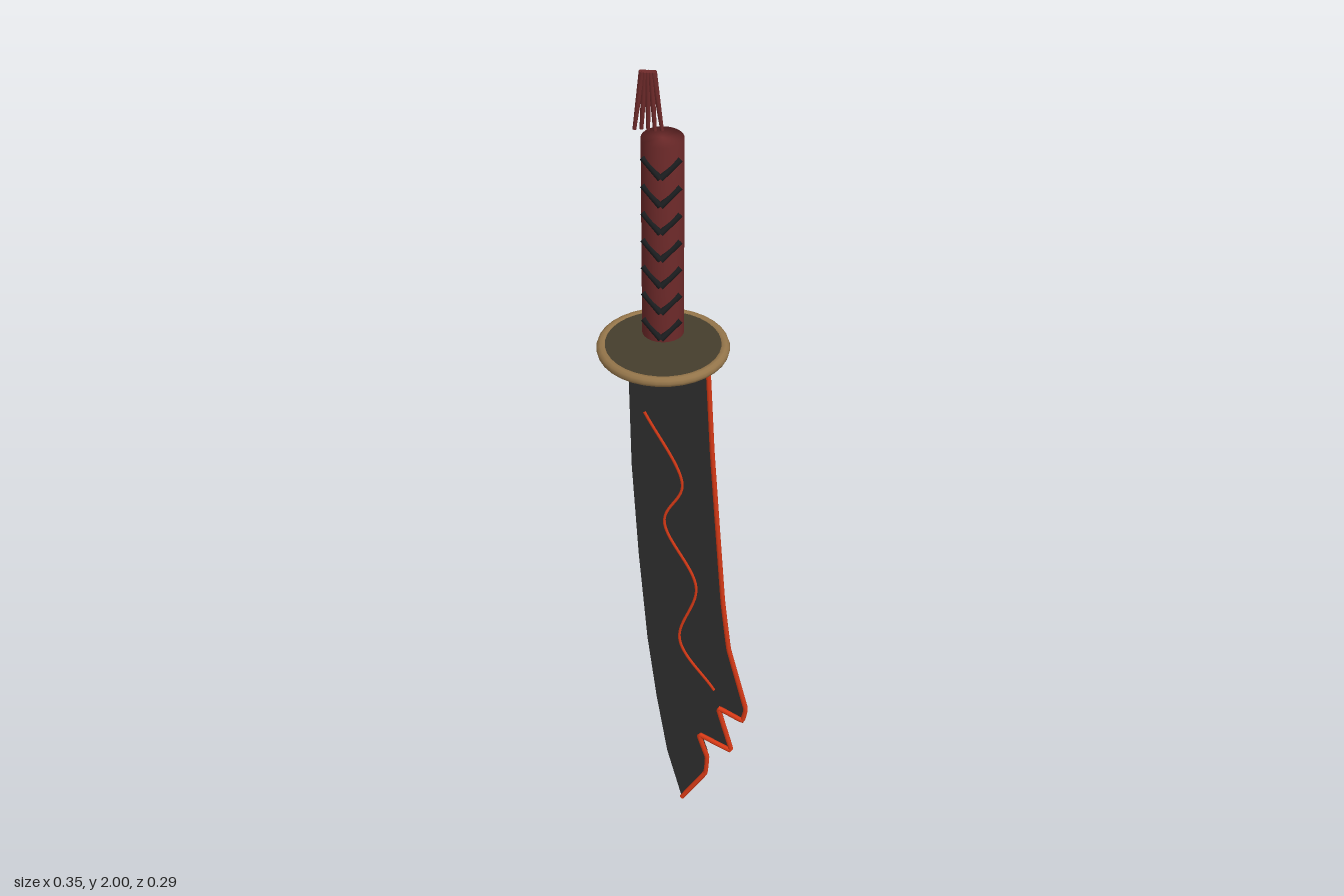
import * as THREE from 'three';
import { mergeVertices } from 'three/addons/utils/BufferGeometryUtils.js';

const material = (name, color) => {
  const m = new THREE.MeshStandardMaterial({ color });
  m.name = name;
  return m;
};

export function createModel() {
  const steel = material('dark steel', 0x2a2a2a);
  const ember = material('ember red', 0xd93a16);
  const leather = material('red leather', 0x6e2a2a);
  const wrap = material('black wrap', 0x1a1c1e);
  const plate = material('dark bronze', 0x453d2c);
  const brass = material('brass', 0x94754a);

  const model = new THREE.Group();
  const axisX = -0.028;
  const add = (name, geometry, mat, x = 0, y = 0, z = 0, parent = model) => {
    const mesh = new THREE.Mesh(geometry, mat);
    mesh.name = name;
    mesh.position.set(x, y, z);
    parent.add(mesh);
    return mesh;
  };
  const group = (name) => {
    const g = new THREE.Group();
    g.name = name;
    model.add(g);
    return g;
  };
  // Straight tapered rod between two points
  const rod = (name, a, b, ra, rb, mat, parent) => {
    const dir = b.clone().sub(a);
    const mesh = add(name, new THREE.CylinderGeometry(rb, ra, dir.length(), 8), mat, 0, 0, 0, parent);
    mesh.position.copy(a).add(b).multiplyScalar(0.5);
    mesh.quaternion.setFromUnitVectors(new THREE.Vector3(0, 1, 0), dir.normalize());
  };
  const path = (points, z, tension) => new THREE.CatmullRomCurve3(
    points.map(([x, y]) => new THREE.Vector3(x, y, z)), false, 'catmullrom', tension);

  // Blade: curved spine, broken cutting edge
  const edge = [
    [0.07, 1.31], [0.082, 1.05], [0.098, 0.8], [0.11, 0.62], [0.125, 0.48], [0.167, 0.3],
    [0.159, 0.262], [0.102, 0.296], [0.134, 0.165], [0.056, 0.21], [0.076, 0.14],
    [0.072, 0.088], [0.015, 0.004],
  ];
  const spine = [
    [-0.02, 0.15], [-0.045, 0.32], [-0.066, 0.5], [-0.085, 0.75], [-0.099, 1.0], [-0.105, 1.31],
  ];
  const outline = new THREE.Shape([...edge, ...spine].map(([x, y]) => new THREE.Vector2(x, y)));
  add('blade', new THREE.ExtrudeGeometry(outline, { depth: 0.021, bevelEnabled: false }),
    steel, 0, 0, -0.011);

  // Glowing cutting edge and crack on the front face
  add('glowingEdge', new THREE.TubeGeometry(path(edge, 0.014, 0.08), 240, 0.006, 6), ember, 0.001);
  const crack = [[-0.07, 1.15], [0.015, 0.96], [-0.025, 0.84], [0.048, 0.66], [0.01, 0.5], [0.092, 0.35]];
  add('crack', new THREE.TubeGeometry(path(crack, 0.011, 0.5), 80, 0.0035, 6), ember);

  // Round guard with a rim
  add('guardPlate', new THREE.CylinderGeometry(0.135, 0.135, 0.018, 32), plate, axisX, 1.318);
  add('guardRim', new THREE.TorusGeometry(0.135, 0.012, 10, 32).rotateX(Math.PI / 2), brass, axisX, 1.318);

  // Grip, shaded smoothly over its ends
  const gripShape = new THREE.CylinderGeometry(0.046, 0.046, 0.485, 32);
  gripShape.deleteAttribute('uv').deleteAttribute('normal');
  const grip = mergeVertices(gripShape);
  grip.computeVertexNormals();
  add('grip', grip, leather, axisX, 1.603);

  // Chevron wraps on the front of the grip
  const wraps = group('gripWraps');
  for (let i = 0; i < 7; i++) {
    const y = 1.775 - i * 0.0672;
    const tip = new THREE.Vector3(axisX, y, 0.051);
    for (const side of [-1, 1]) {
      const end = new THREE.Vector3(axisX + side * 0.04, y + 0.036, 0.028);
      rod('gripWrap', tip, end, 0.007, 0.007, wrap, wraps);
    }
  }

  // Tassel: strands fanning downwards
  const tassel = group('tassel');
  for (let i = -2; i <= 2; i++) {
    rod('tasselStrand',
      new THREE.Vector3(-0.058 + i * 0.0145, 1.862, (i % 2) * 0.003),
      new THREE.Vector3(-0.058 + i * 0.006, 2.0, 0), 0.004, 0.007, leather, tassel);
  }
  return model;
}
